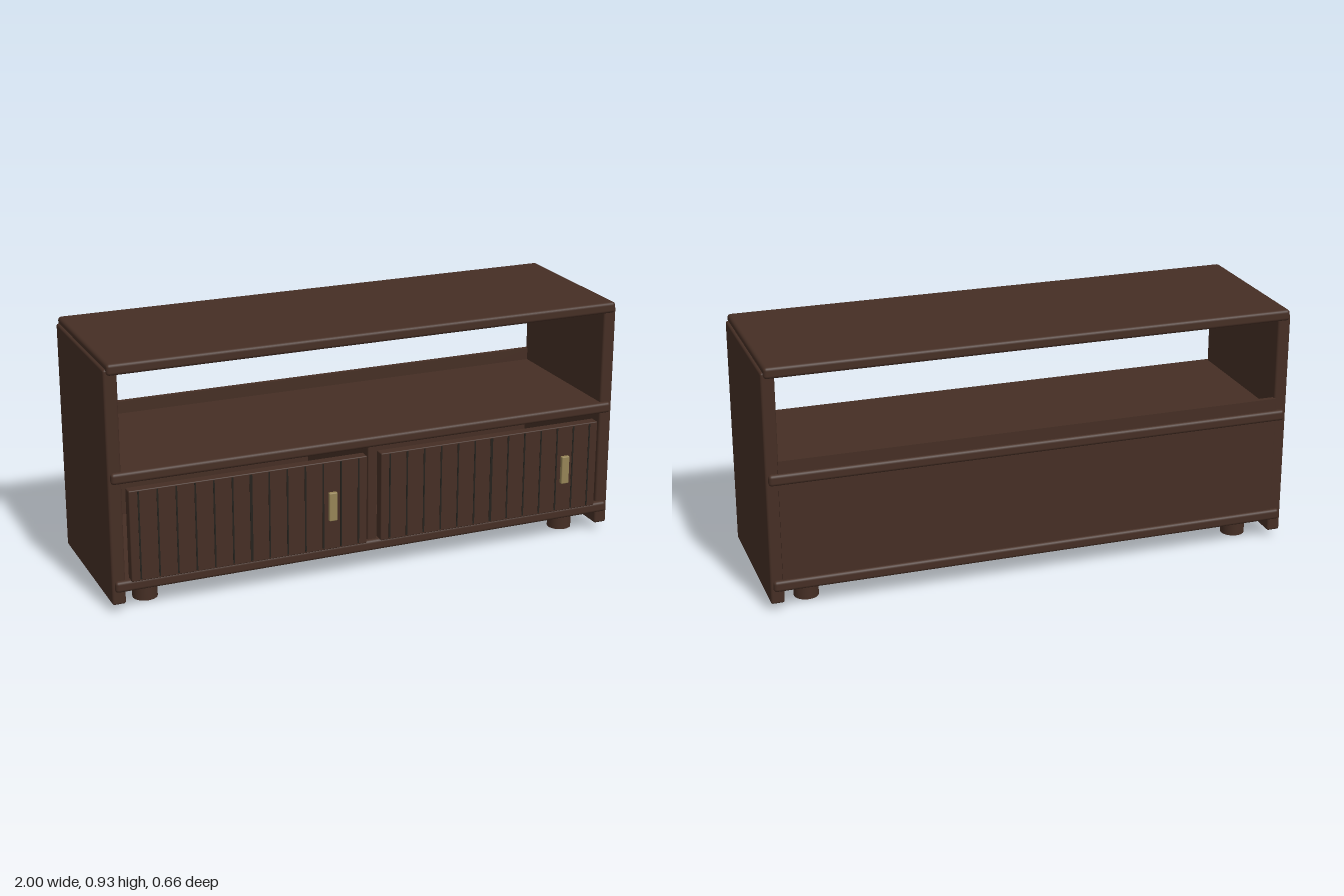
import * as THREE from 'three';
import { RoundedBoxGeometry } from 'three/addons/geometries/RoundedBoxGeometry.js';

export function createModel() {
  const model = new THREE.Group();
  model.name = 'mediaCabinet';

  const mat = (name, color) => {
    const m = new THREE.MeshStandardMaterial({ color });
    m.name = name;
    return m;
  };
  const wood = mat('darkWood', 0x452e24);
  const shadowGap = mat('grooveDark', 0x25221d);
  const brass = mat('brass', 0x968456);

  // Box given by its extents, with softened edges when r > 0
  const box = (name, material, [x0, x1], [y0, y1], [z0, z1], r = 0) => {
    const size = [x1 - x0, y1 - y0, z1 - z0];
    const geometry = r ? new RoundedBoxGeometry(...size, 3, r) : new THREE.BoxGeometry(...size);
    const mesh = new THREE.Mesh(geometry, material);
    mesh.name = name;
    mesh.position.set((x0 + x1) / 2, (y0 + y1) / 2, (z0 + z1) / 2);
    model.add(mesh);
    return mesh;
  };

  // Horizontal boards, slightly deeper than the sides
  const boardZ = [-0.33, 0.305];
  box('bottomBoard', wood, [-0.99, 0.99], [0.08, 0.122], boardZ, 0.012);
  box('middleShelf', wood, [-0.99, 0.99], [0.488, 0.53], boardZ, 0.012);
  box('topBoard', wood, [-0.99, 0.99], [0.885, 0.927], boardZ, 0.012);

  // Side panels
  box('leftSide', wood, [0.95, 1], [0.03, 0.905], [-0.315, 0.29], 0.008);
  box('rightSide', wood, [-1, -0.95], [0.03, 0.905], [-0.315, 0.29], 0.008);

  // Back panel rises above the shelf as a low lip
  box('backPanel', wood, [-0.955, 0.955], [0.1, 0.577], [-0.319, -0.3]);
  box('centreDivider', wood, [-0.018, 0.018], [0.11, 0.5], [-0.305, 0.29], 0.005);

  // Two doors with vertical grooves, a wider centre line and a pull
  const doorY = [0.118, 0.462];
  for (const [x0, x1, side, handleX] of [[-0.933, -0.03, 'right', -0.171], [0.026, 0.93, 'left', 0.787]]) {
    box(side + 'Door', wood, [x0, x1], doorY, [0.27, 0.311], 0.004);
    const mid = (x0 + x1) / 2;
    for (let i = -6; i <= 6; i++) {
      const x = mid + i * 0.0695;
      const w = i === 0 ? 0.005 : 0.003;
      box(side + 'DoorGroove', shadowGap, [x - w, x + w], [0.125, 0.457], [0.309, 0.3125]);
    }
    box(side + 'Handle', brass, [handleX - 0.016, handleX + 0.016], [0.236, 0.346], [0.315, 0.332], 0.004);
    // Small posts joining the pull to the door
    for (const y of [0.262, 0.32]) {
      box(side + 'HandlePost', brass, [handleX - 0.005, handleX + 0.005], [y - 0.005, y + 0.005], [0.305, 0.32]);
    }
  }

  // Round feet
  const footGeometry = new THREE.CylinderGeometry(0.046, 0.046, 0.085, 24);
  for (const x of [-0.85, 0.85]) {
    for (const z of [0.185, -0.21]) {
      const foot = new THREE.Mesh(footGeometry, wood);
      foot.name = 'foot';
      foot.position.set(x, 0.0425, z);
      model.add(foot);
    }
  }
  return model;
}
